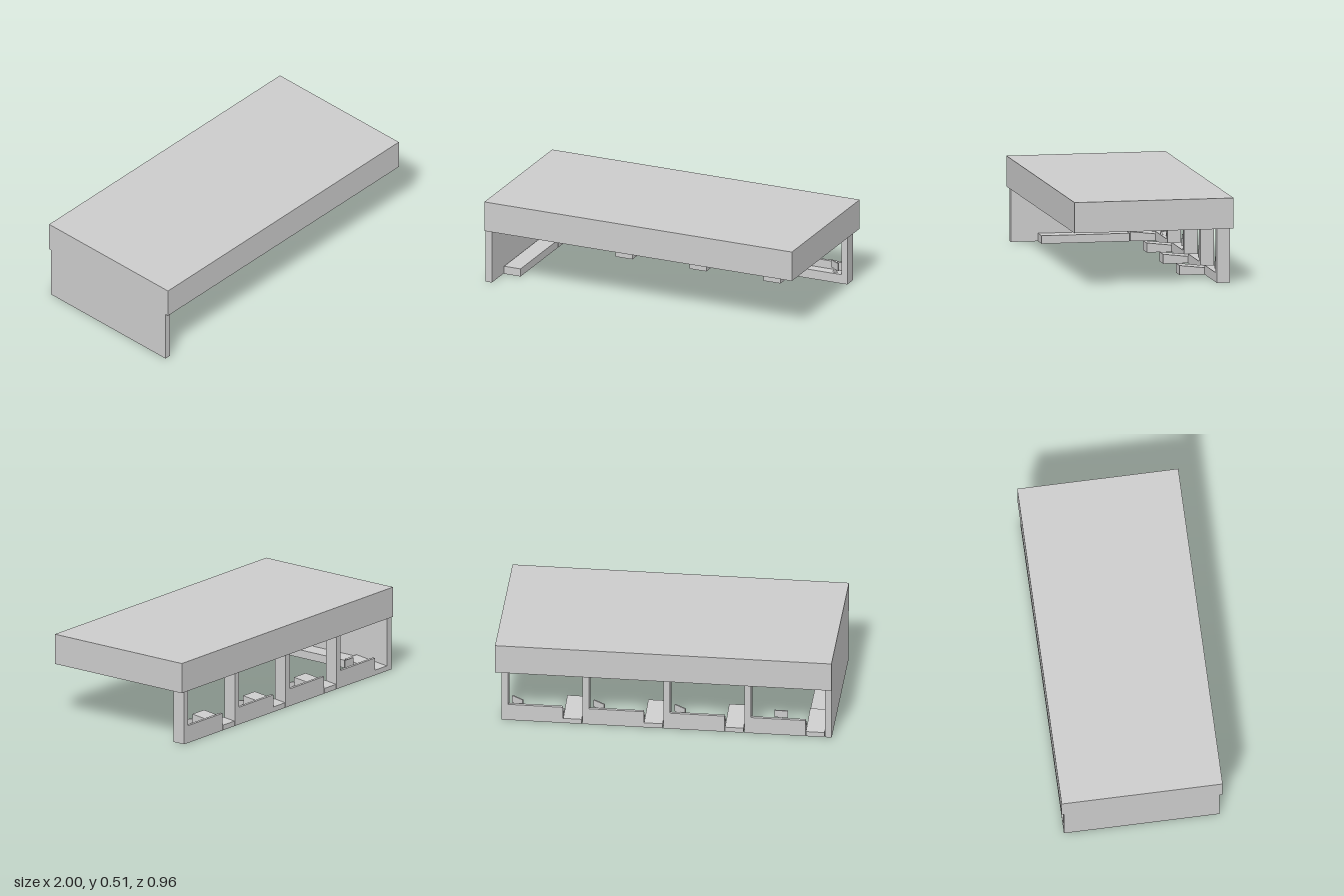
import * as THREE from 'three';

const material = new THREE.MeshStandardMaterial({ color: 0xcccccc, flatShading: true });
const shellMaterial = new THREE.MeshStandardMaterial({ color: 0xcccccc, flatShading: true, side: THREE.DoubleSide });

// Box given by its limits on each axis
function box(name, x0, x1, y0, y1, z0, z1) {
  const geometry = new THREE.BoxGeometry(x1 - x0, y1 - y0, z1 - z0);
  geometry.translate((x0 + x1) / 2, (y0 + y1) / 2, (z0 + z1) / 2);
  const mesh = new THREE.Mesh(geometry, material);
  mesh.name = name;
  return mesh;
}

// Box without a bottom, whose top slopes from yBack to yFront
function shell(name, x0, x1, yBack, yFront, z0, z1) {
  const mesh = box(name, x0, x1, 0, 1, z0, z1);
  const geometry = mesh.geometry;
  const index = Array.from(geometry.index.array);
  index.splice(18, 6); // bottom face
  geometry.setIndex(index);
  geometry.clearGroups();
  const p = geometry.attributes.position;
  for (let i = 0; i < p.count; i++) {
    if (p.getY(i) > 0.5) p.setY(i, p.getZ(i) > (z0 + z1) / 2 ? yFront : yBack);
  }
  geometry.computeVertexNormals();
  mesh.material = shellMaterial;
  return mesh;
}

// Small screen on a tapered foot
function createMonitor(x, turn) {
  const monitor = new THREE.Group();
  monitor.name = 'monitor';
  monitor.add(box('screen', -0.04, 0.04, 0.021, 0.067, -0.004, 0.004));
  const foot = new THREE.Mesh(new THREE.CylinderGeometry(0.005, 0.02, 0.022, 4, 1, false, Math.PI / 4), material);
  foot.name = 'monitorFoot';
  foot.position.y = 0.011;
  foot.scale.z = 0.6;
  monitor.add(foot);
  monitor.position.set(x, 0.056, turn ? -0.41 : -0.392);
  monitor.rotation.y = turn;
  return monitor;
}

export function createModel() {
  const model = new THREE.Group();
  model.name = 'boothRow';
  const back = -0.467, front = -0.387;

  model.add(box('roof', -1, 1, 0.327, 0.51, -0.48, 0.48));
  model.add(box('sideWall', -1, -0.96, 0, 0.327, back, 0.46));
  model.add(shell('longCurb', -0.955, -0.848, 0.048, 0.048, -0.233, 0.298));

  // Four bays, each with a ramp, a counter, a post and a monitor
  const bays = [
    { start: -0.96, monitor: -0.692, turn: 0 },
    { start: -0.479, monitor: -0.094, turn: -0.6 },
    { start: 0.002, monitor: 0.388, turn: -0.6 },
    { start: 0.483, monitor: 0.872, turn: -0.6 },
  ];
  for (const { start, monitor, turn } of bays) {
    const bay = new THREE.Group();
    bay.name = 'bay';
    const counterStart = start + 0.115, postStart = start + 0.44;
    bay.add(shell('ramp', start + 0.003, counterStart - 0.002, 0.031, 0.057, back, -0.237));
    bay.add(box('counter', counterStart, postStart, 0, 0.056, back, front));
    bay.add(box('counterBack', counterStart, postStart, 0.056, 0.106, back, back + 0.018));
    bay.add(box('post', postStart, start + 0.479, 0, 0.327, back, front));
    bay.add(createMonitor(monitor, turn));
    model.add(bay);
  }

  // Small box on the first counter
  model.add(box('counterBox', -0.64, -0.625, 0.056, 0.076, -0.43, -0.41));
  return model;
}
